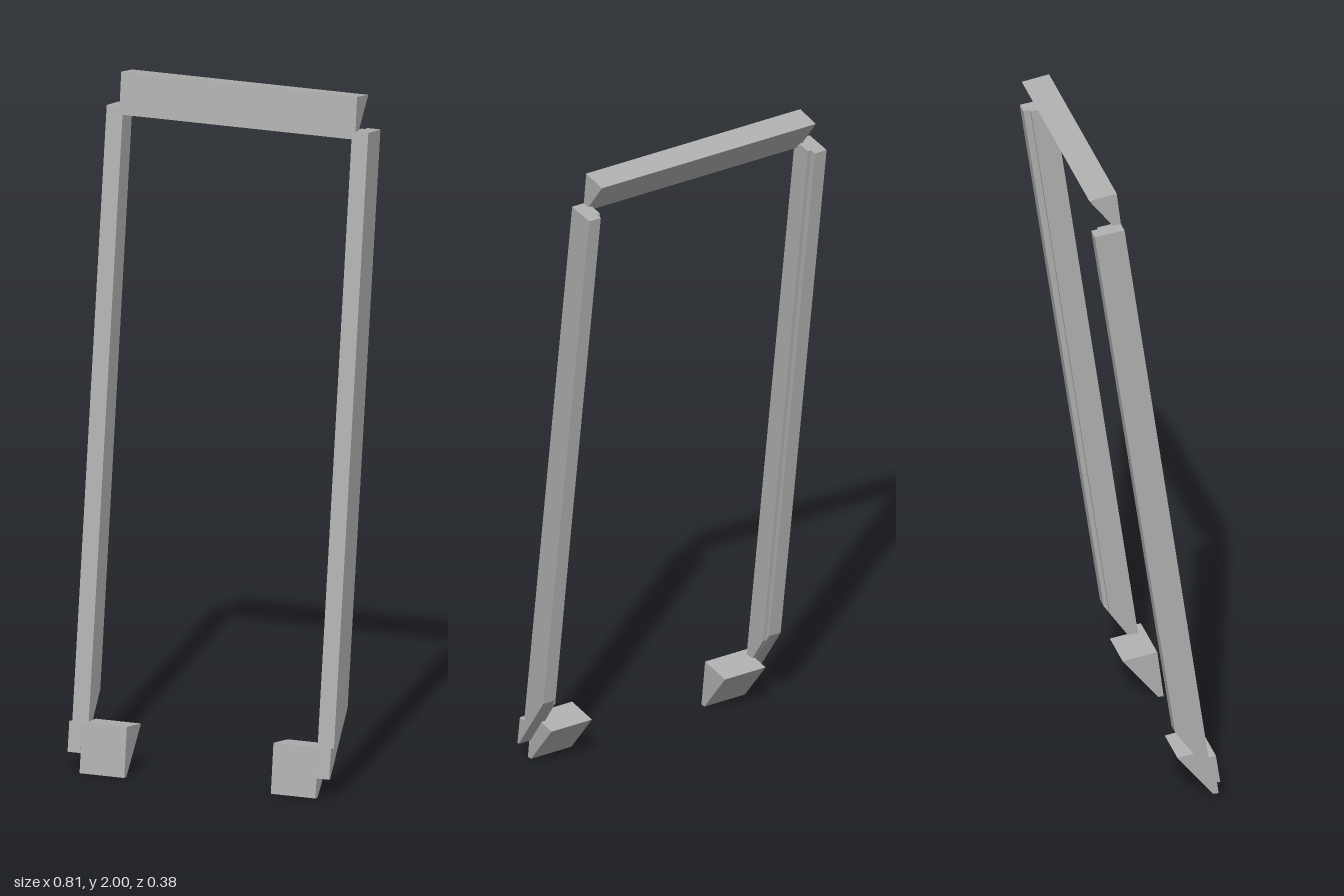
import * as THREE from 'three';

const grey = new THREE.MeshStandardMaterial({ color: 0xb0b0b0 });
grey.name = 'grey';

// Prism running along x from x0 to x1, with a side profile of [z, y] points
function prism(name, x0, x1, profile) {
  const shape = new THREE.Shape(profile.map(([z, y]) => new THREE.Vector2(z, y)));
  const geometry = new THREE.ExtrudeGeometry(shape, { depth: x1 - x0, bevelEnabled: false });
  geometry.rotateY(-Math.PI / 2);
  geometry.translate(x1, 0, 0);
  const mesh = new THREE.Mesh(geometry, grey);
  mesh.name = name;
  return mesh;
}

export function createModel() {
  const model = new THREE.Group();
  model.name = 'leaningFrame';

  // Wedge-shaped crossbar at the top
  model.add(prism('topBar', -0.367, 0.367,
    [[-0.112, 2], [-0.193, 1.987], [-0.108, 1.877], [-0.097, 1.877]]));

  // Leaning post: outer web down to the ear, and a slightly proud inner flange
  const web = [[-0.1, 1.9], [-0.188, 1.89], [0.05, 0.24], [0.177, 0.058],
    [0.184, 0.058], [0.171, 0.146], [0.149, 0.143]];
  const flange = [[-0.1, 1.9], [-0.168, 1.892], [0.065, 0.22], [0.118, 0.143], [0.149, 0.143]];
  // Wedge-shaped foot block turned inwards
  const foot = [[0.171, 0.146], [0.068, 0.132], [0.174, 0], [0.19, 0]];

  for (const [side, s] of [['left', 1], ['right', -1]]) {
    const part = (name, a, b, profile) =>
      prism(side + name, Math.min(s * a, s * b), Math.max(s * a, s * b), profile);
    model.add(
      part('PostWeb', 0.367, 0.407, web),
      part('PostFlange', 0.356, 0.367, flange),
      part('Foot', 0.228, 0.367, foot),
    );
  }
  return model;
}
